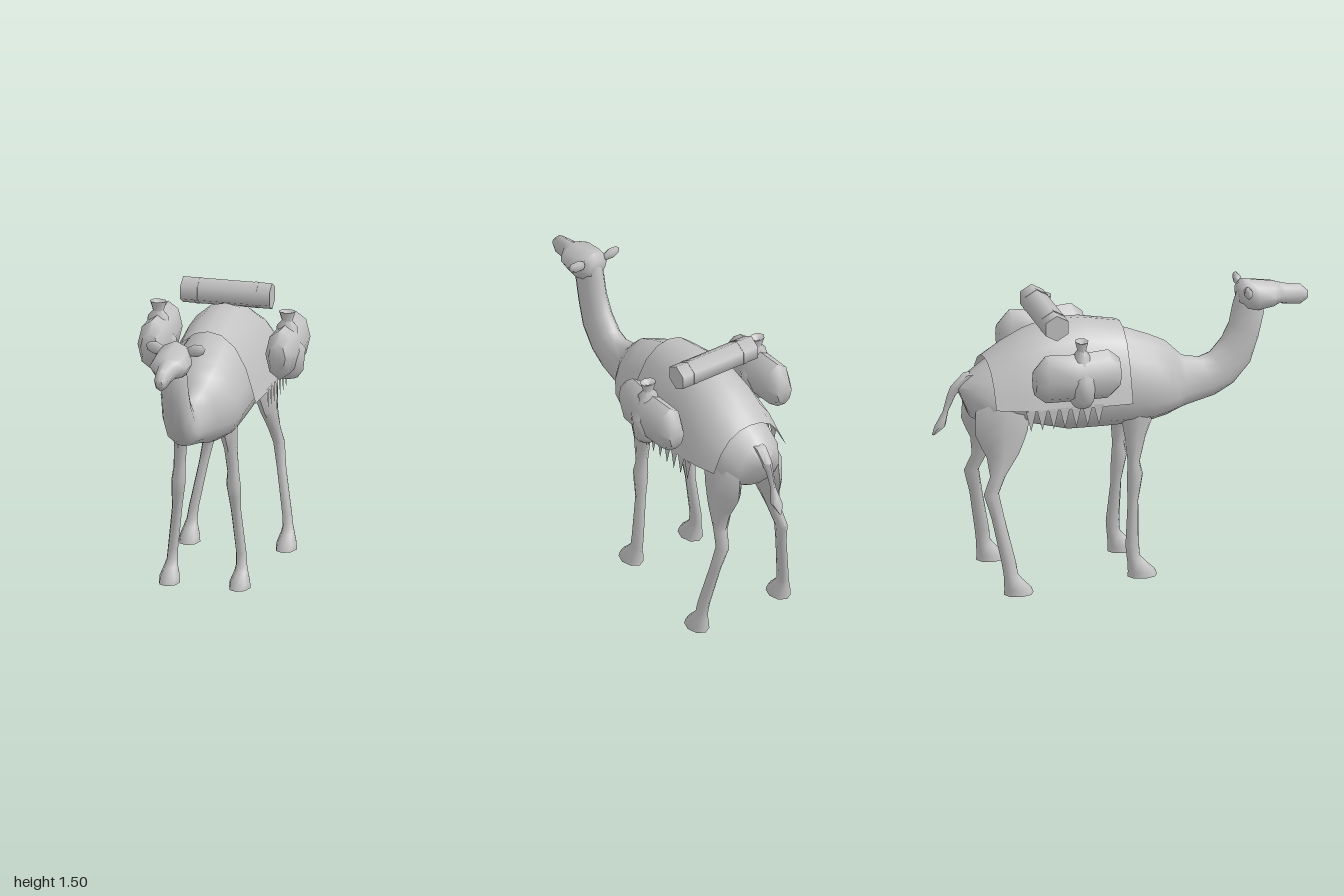
import * as THREE from 'three';
import { toCreasedNormals } from 'three/addons/utils/BufferGeometryUtils.js';

const stone = new THREE.MeshStandardMaterial({ color: 0xc2c2c2, side: THREE.DoubleSide });
stone.name = 'stone grey';

// Skin a list of point rings; closed rings get end caps
function loft(rings, closed = true) {
  const n = rings[0].length, pos = [], idx = [];
  rings.forEach(r => r.forEach(p => pos.push(...p)));
  const span = closed ? n : n - 1;
  for (let i = 0; i < rings.length - 1; i++) {
    for (let j = 0; j < span; j++) {
      const a = i * n + j, b = i * n + (j + 1) % n, c = a + n, d = b + n;
      idx.push(a, c, b, b, c, d);
    }
  }
  if (closed) {
    [0, rings.length - 1].forEach((i, end) => {
      const centre = pos.length / 3;
      pos.push(...[0, 1, 2].map(k => rings[i].reduce((s, p) => s + p[k], 0) / n));
      for (let j = 0; j < n; j++) {
        const a = i * n + j, b = i * n + (j + 1) % n;
        idx.push(centre, end ? b : a, end ? a : b);
      }
    });
  }
  const g = new THREE.BufferGeometry();
  g.setAttribute('position', new THREE.Float32BufferAttribute(pos, 3));
  g.setIndex(idx);
  return toCreasedNormals(g, 1.1);
}

// Rows of [zTop, yTop, zBottom, yBottom, halfWidth], running towards +z
function spine(rows, sides, sag = 0, x0 = 0) {
  return loft(rows.map(([zt, yt, zb, yb, w]) => Array.from({ length: sides }, (_, j) => {
    const t = j / sides * Math.PI * 2, s = Math.sin(t);
    const k = (1 + Math.cos(t) - sag * s * s) / 2;
    return [x0 + w * s, yb + (yt - yb) * k, zb + (zt - zb) * k];
  })));
}

// Rows of [y, x, z, radiusX, radiusZ], running upwards
function column(rows, side = 1, sides = 8) {
  return loft(rows.map(([y, x, z, rx, rz]) => Array.from({ length: sides }, (_, j) => {
    const t = j / sides * Math.PI * 2;
    return [x * side - rx * Math.sin(t), y, z + rz * Math.cos(t)];
  })));
}

const trunkRows = [
  [-0.87, 1.07, -0.84, 1.00, 0.03], [-0.80, 1.13, -0.80, 0.90, 0.125],
  [-0.72, 1.18, -0.72, 0.86, 0.18], [-0.55, 1.29, -0.55, 0.86, 0.20],
  [-0.30, 1.36, -0.30, 0.79, 0.21], [-0.10, 1.34, -0.10, 0.785, 0.212],
  [0.04, 1.29, 0.06, 0.787, 0.21], [0.15, 1.245, 0.15, 0.795, 0.20],
  [0.24, 1.20, 0.23, 0.81, 0.17], [0.29, 1.15, 0.28, 0.825, 0.13],
  [0.33, 1.11, 0.34, 0.84, 0.088], [0.42, 1.09, 0.50, 0.88, 0.08],
  [0.48, 1.11, 0.60, 0.935, 0.077], [0.54, 1.18, 0.69, 1.04, 0.074],
  [0.58, 1.26, 0.735, 1.18, 0.07], [0.60, 1.36, 0.765, 1.31, 0.068],
  [0.63, 1.45, 0.74, 1.38, 0.06],
];
const headRows = [
  [0.62, 1.46, 0.63, 1.36, 0.05], [0.655, 1.495, 0.67, 1.32, 0.085],
  [0.72, 1.48, 0.72, 1.315, 0.103], [0.81, 1.465, 0.80, 1.33, 0.10],
  [0.84, 1.455, 0.84, 1.345, 0.075], [0.87, 1.445, 0.87, 1.33, 0.046],
  [0.96, 1.43, 0.96, 1.32, 0.035], [1.00, 1.39, 0.995, 1.345, 0.018],
];
const frontLegRows = [
  [0, 0.185, 0.067, 0.056, 0.078], [0.03, 0.185, 0.062, 0.054, 0.072],
  [0.08, 0.185, 0.035, 0.036, 0.047], [0.11, 0.183, 0.02, 0.029, 0.036],
  [0.17, 0.18, 0.015, 0.027, 0.036], [0.40, 0.155, 0.026, 0.027, 0.028],
  [0.48, 0.15, 0.033, 0.034, 0.037], [0.54, 0.145, 0.04, 0.038, 0.042],
  [0.61, 0.142, 0.034, 0.031, 0.032], [0.74, 0.132, 0.045, 0.034, 0.055],
  [0.82, 0.125, 0.055, 0.045, 0.078], [0.95, 0.115, 0.06, 0.06, 0.09],
  [1.08, 0.11, 0.06, 0.06, 0.08],
];
const hindLegRows = [
  [0, 0.255, -0.61, 0.056, 0.078], [0.03, 0.255, -0.615, 0.053, 0.072],
  [0.08, 0.255, -0.64, 0.036, 0.048], [0.11, 0.253, -0.652, 0.028, 0.038],
  [0.17, 0.246, -0.66, 0.026, 0.038], [0.40, 0.205, -0.705, 0.025, 0.034],
  [0.53, 0.183, -0.735, 0.031, 0.04], [0.62, 0.168, -0.695, 0.034, 0.042],
  [0.72, 0.15, -0.665, 0.042, 0.085], [0.77, 0.142, -0.665, 0.048, 0.11],
  [0.84, 0.13, -0.665, 0.058, 0.14], [0.97, 0.12, -0.655, 0.07, 0.145],
  [1.08, 0.10, -0.63, 0.06, 0.10],
];
const tailRows = [
  [0.815, 0, -0.99, 0.008, 0.008], [0.86, 0, -0.955, 0.03, 0.03],
  [0.90, 0, -0.94, 0.022, 0.022], [0.94, 0, -0.925, 0.014, 0.015],
  [1.02, 0, -0.895, 0.018, 0.024], [1.07, 0, -0.86, 0.028, 0.04],
  [1.13, 0, -0.80, 0.032, 0.04],
];
const bagRows = [
  [-0.55, 1.25, -0.55, 1.11, 0.045], [-0.49, 1.32, -0.49, 1.06, 0.076],
  [-0.33, 1.31, -0.33, 1.055, 0.08], [-0.16, 1.32, -0.16, 1.055, 0.076],
  [-0.10, 1.27, -0.10, 1.11, 0.045],
];
const jugProfile = [[0, 1.03], [0.055, 1.03], [0.085, 1.07], [0.097, 1.19], [0.06, 1.23],
  [0.055, 1.3], [0.028, 1.33], [0.044, 1.38], [0.025, 1.375], [0, 1.35]];

export function createModel() {
  const model = new THREE.Group();
  model.name = 'packCamel';
  const add = (name, geometry) => {
    const mesh = new THREE.Mesh(geometry, stone);
    mesh.name = name;
    model.add(mesh);
    return mesh;
  };

  // Animal
  add('bodyAndNeck', spine(trunkRows, 14, 0.2));
  add('head', spine(headRows, 8));
  add('tail', column(tailRows, 1, 6));

  // Saddle blanket: [z, top y, hem y, width scale]
  const blanketRows = [[-0.72, 1.21, 1.00, 0.84], [-0.61, 1.28, 0.995, 0.95], [-0.5, 1.335, 0.99, 1],
    [-0.35, 1.38, 0.985, 1], [-0.2, 1.375, 0.98, 1], [0, 1.335, 0.97, 0.94]];
  const drape = [[0, 0], [0.075, 0.04], [0.15, 0.2], [0.212, 0.5], [0.245, 0.78], [0.268, 1]];
  const across = [...drape.slice(1).reverse().map(([x, k]) => [-x, k]), ...drape];
  add('blanket', loft(blanketRows.map(([z, top, hem, w]) =>
    across.map(([x, k]) => [x * w, top + (hem - top) * k, z])), false));

  for (const side of [1, -1]) {
    const label = side > 0 ? 'left' : 'right';
    add(label + 'FrontLeg', column(frontLegRows, side));
    add(label + 'HindLeg', column(hindLegRows, side));

    // Leaf-shaped ear pointing outwards
    const ear = add(label + 'Ear', new THREE.SphereGeometry(1, 6, 4));
    ear.scale.set(0.034, 0.052, 0.02);
    ear.position.set(side * 0.106, 1.45, 0.655);
    ear.rotation.z = -side * 1.35;

    // Pack and water jug
    add(label + 'Pack', spine(bagRows, 8, 0, side * 0.337));
    const jug = add(label + 'Jug', toCreasedNormals(new THREE.LatheGeometry(
      jugProfile.map(p => new THREE.Vector2(...p)), 8), 1.1));
    jug.position.set(side * 0.34, 0, -0.3);
    jug.scale.z = 0.8;

    // Pointed fringe along the hem
    const tassels = [];
    for (let i = 0; i < 7; i++) {
      const z = -0.16 - i * 0.06;
      tassels.push(side * 0.267, 0.995, z, side * 0.267, 0.995, z - 0.055,
        side * 0.27, 0.885, z - 0.028);
    }
    const fringe = new THREE.BufferGeometry();
    fringe.setAttribute('position', new THREE.Float32BufferAttribute(tassels, 3));
    fringe.computeVertexNormals();
    add(label + 'Fringe', fringe);
  }

  // Bedroll across the back, one corner of its hexagon pointing up
  const roll = (name, radius, length, x) => {
    const geometry = new THREE.CylinderGeometry(radius, radius, length, 6);
    const mesh = add(name, geometry.rotateY(Math.PI / 6).rotateZ(Math.PI / 2));
    mesh.position.set(x, 1.42, -0.4);
  };
  roll('bedroll', 0.069, 0.47, 0);
  for (const x of [-0.155, 0.155]) roll('bedrollStrap', 0.071, 0.02, x);

  return model;
}
